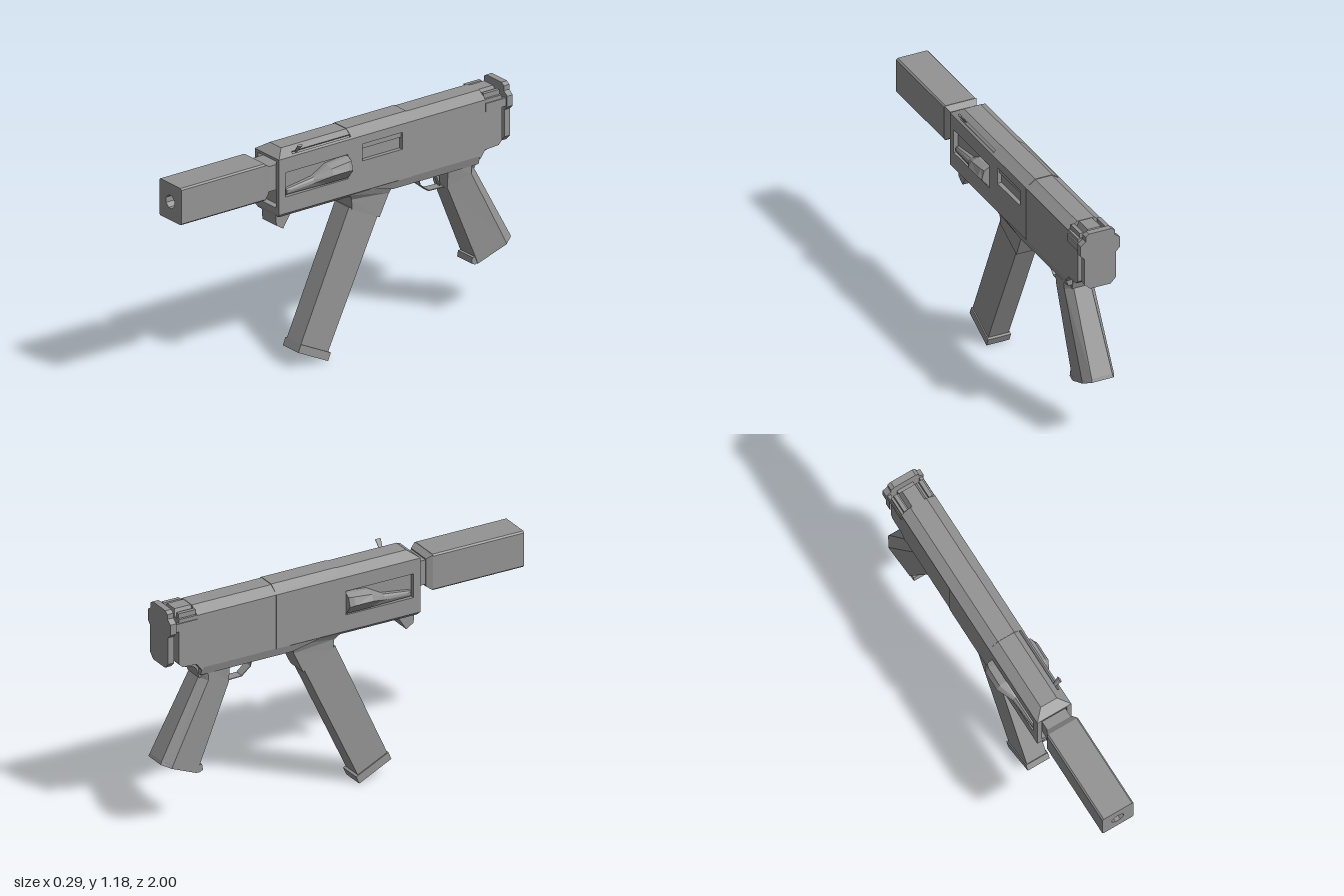
import * as THREE from 'three';

const mat = new THREE.MeshStandardMaterial({ color: 0x939393, flatShading: true });

// Shape from a point list, with optional holes
function shapeOf(pts, holes = []) {
  const s = new THREE.Shape(pts.map(p => new THREE.Vector2(...p)));
  s.holes = holes.map(h => new THREE.Path(h.map(p => new THREE.Vector2(...p))));
  return s;
}
const rect = (a0, a1, b0, b1) => [[a0, b0], [a1, b0], [a1, b1], [a0, b1]];

// Side profile in (z, y), extruded from x0 to x1
function side(pts, x0, x1, holes) {
  const g = new THREE.ExtrudeGeometry(shapeOf(pts, holes), { depth: x1 - x0, bevelEnabled: false });
  return g.rotateY(-Math.PI / 2).translate(x1, 0, 0);
}

// Front profile in (x, y), extruded from z0 to z1
function along(pts, z0, z1, holes) {
  const g = new THREE.ExtrudeGeometry(shapeOf(pts, holes), { depth: z1 - z0, bevelEnabled: false });
  return g.translate(0, 0, z0);
}

const box = (x0, x1, y0, y1, z0, z1) => new THREE.BoxGeometry(x1 - x0, y1 - y0, z1 - z0)
  .translate((x0 + x1) / 2, (y0 + y1) / 2, (z0 + z1) / 2);

// Capped loft through loops of equal length; winding is turned outwards by signed volume
function loft(loops) {
  const n = loops[0].length, tris = [];
  for (let k = 0; k + 1 < loops.length; k++) {
    for (let i = 0; i < n; i++) {
      const j = (i + 1) % n, [a, b] = [loops[k], loops[k + 1]];
      tris.push([a[i], a[j], b[j]], [a[i], b[j], b[i]]);
    }
  }
  const first = loops[0], last = loops[loops.length - 1];
  for (let i = 1; i + 1 < n; i++) {
    tris.push([first[0], first[i + 1], first[i]], [last[0], last[i], last[i + 1]]);
  }
  const c = first[0], v = p => new THREE.Vector3(p[0] - c[0], p[1] - c[1], p[2] - c[2]);
  const volume = tris.reduce((s, [p, q, r]) => s + v(p).dot(v(q).cross(v(r))), 0);
  if (volume < 0) tris.forEach(t => t.reverse());
  const g = new THREE.BufferGeometry();
  g.setAttribute('position', new THREE.Float32BufferAttribute(tris.flat(2), 3));
  g.computeVertexNormals();
  return g;
}
// Horizontal rectangle loop; the two z ends may lie at different heights
const quad = (w, z0, z1, y0, y1 = y0) => [[-w, y0, z0], [w, y0, z0], [w, y1, z1], [-w, y1, z1]];
// Upright rectangle loop at one z
const frame = (w, y0, y1, z) => [[-w, y0, z], [w, y0, z], [w, y1, z], [-w, y1, z]];

export function createModel() {
  const model = new THREE.Group();
  const add = (name, geometry) => {
    const m = new THREE.Mesh(geometry, mat);
    m.name = name;
    model.add(m);
    return m;
  };

  // Muzzle tube: bevelled square with an octagonal bore
  const c = 0.008, w = 0.087, lo = 0.935, hi = 1.125;
  const square = [[-w + c, lo], [w - c, lo], [w, lo + c], [w, hi - c], [w - c, hi], [-w + c, hi], [-w, hi - c], [-w, lo + c]];
  const bore = Array.from({ length: 8 }, (_, i) => {
    const a = (i + 0.5) * Math.PI / 4;
    return [0.035 * Math.cos(a), 1.03 + 0.035 * Math.sin(a)];
  });
  add('muzzleTube', along(square, 0.7, 1, [bore]));
  add('muzzleTubeRear', along(square, 0.495, 0.7));
  add('muzzleTaper', loft([frame(0.085, 0.937, 1.123, 0.495), frame(0.07, 0.957, 1.103, 0.465)]));
  add('barrelCollar', box(-0.066, 0.066, 0.967, 1.097, 0.38, 0.47));

  // Receiver core, open at the front between the side plates
  const rear = [[-0.79, 0.83], [-0.82, 0.87], [-0.9, 0.875], [-0.92, 0.895], [-0.92, 1.13]];
  add('receiverCore', side([[0.385, 1.13], [0.385, 0.85], [-0.78, 0.83], ...rear], -0.072, 0.072));
  add('frontSill', box(-0.072, 0.072, 0.845, 0.875, 0.38, 0.42));
  add('frontLintel', box(-0.072, 0.072, 1.115, 1.13, 0.38, 0.42));

  // Side plates with grip recesses, and an ejection port on the left one
  const plate = rect(-0.38, 0.42, 0.845, 1.13);
  const rearPlate = [[-0.38, 1.13], [-0.38, 0.845], [-0.78, 0.845], ...rear];
  const recess = rect(0.005, 0.38, 0.93, 1.055), port = rect(-0.32, -0.08, 1.0, 1.087);
  add('leftPlate', side(plate, 0.07, 0.095, [recess, port]));
  add('rightPlate', side(plate, -0.095, -0.07, [recess]));
  add('leftRearPlate', side(rearPlate, 0.07, 0.092));
  add('rightRearPlate', side(rearPlate, -0.092, -0.07));
  add('bolt', box(0.065, 0.086, 1.06, 1.087, -0.32, -0.08));

  // Sloped roof, cut by the cocking slot on the left
  const roof = [[-0.045, 1.165], [-0.095, 1.13], [0.095, 1.13]], roofEnd = [0.045, 1.165];
  const slot = [[0.084, 1.138], [0.077, 1.131], [0.067, 1.138], [0.073, 1.1454]];
  add('roofRear', along([...roof, roofEnd], -0.82, -0.02));
  add('roofSlotted', along([...roof, ...slot, roofEnd], -0.02, 0.33));
  add('roofFront', loft([quad(0.095, 0.33, 0.42, 1.13), quad(0.045, 0.33, 0.37, 1.165)]));
  add('roofPanel', loft([quad(0.08, -0.38, -0.02, 1.143), quad(0.046, -0.38, -0.02, 1.168)]));
  add('roofTail', loft([quad(0.05, -0.92, -0.82, 1.13), quad(0.035, -0.91, -0.82, 1.163)]));

  // Bevelled belly and lower frame
  add('belly', loft([quad(0.095, -0.3, 0.42, 0.846), quad(0.08, -0.3, 0.41, 0.828)]));
  add('lowerFrame', loft([quad(0.092, -0.79, -0.1, 0.847), quad(0.078, -0.79, -0.28, 0.8)]));

  // Cocking handle: a flat tapered tab leaning outwards
  const handle = add('cockingHandle', new THREE.CylinderGeometry(0.016, 0.009, 0.056, 8).scale(0.4, 1, 1));
  handle.position.set(0.086, 1.157, 0.3);
  handle.rotation.z = -0.65;

  for (const s of [1, -1]) {
    // Raised finger wedge in each recess: z, then (x, y) corners
    const wedge = [
      [0.005, 0.07, 0.935, 0.095, 0.936, 0.135, 0.985, 0.122, 1.032, 0.095, 1.045, 0.07, 1.045],
      [0.03, 0.07, 0.935, 0.095, 0.936, 0.145, 0.993, 0.128, 1.032, 0.095, 1.045, 0.07, 1.045],
      [0.13, 0.07, 0.935, 0.095, 0.936, 0.145, 0.993, 0.128, 1.022, 0.095, 1.035, 0.07, 1.035],
      [0.21, 0.07, 0.935, 0.09, 0.936, 0.104, 0.962, 0.1, 0.978, 0.09, 0.988, 0.07, 0.99],
      [0.37, 0.07, 0.935, 0.085, 0.936, 0.09, 0.945, 0.09, 0.958, 0.085, 0.965, 0.07, 0.967],
    ];
    add(s > 0 ? 'leftWedge' : 'rightWedge', loft(wedge.map(([z, ...p]) =>
      [0, 2, 4, 6, 8, 10].map(i => [s * p[i], p[i + 1], z]))));
    // Rear rails joining the end plate, and the hooks above them
    const pair = (a, b) => s > 0 ? [a, b] : [-b, -a];
    add('rearRail', box(...pair(0.08, 0.097), 1.068, 1.11, -0.945, -0.82));
    add('rearHook', box(...pair(0.06, 0.08), 1.125, 1.155, -0.915, -0.82));
  }

  // End plate
  const half = [[0.055, 0.875], [0.085, 0.905], [0.085, 1.045], [0.105, 1.065], [0.105, 1.12],
    [0.078, 1.14], [0.078, 1.165], [0.06, 1.178]];
  const outline = [...half, ...half.map(([x, y]) => [-x, y]).reverse()];
  add('endPlate', along(outline, -0.975, -0.942));
  add('endPlateBoss', box(-0.045, 0.045, 1.07, 1.11, -0.945, -0.91));

  // Front hand stop
  add('handStop', side([[0.41, 0.835], [0.405, 0.775], [0.365, 0.75], [0.31, 0.835]], -0.055, 0.055));

  // Slanted magazine and its flared well
  add('magazine', side([[-0.03, 0.76], [0.27, 0.1], [0.105, 0.025], [-0.205, 0.68]], -0.055, 0.055));
  add('magazineBase', side([[0.262, 0.127], [0.278, 0.088], [0.1, 0.001], [0.083, 0.04]], -0.061, 0.061));
  add('magazineWell', loft([
    quad(0.06, -0.21, -0.045, 0.665, 0.745),
    quad(0.063, -0.265, -0.04, 0.78, 0.8),
    quad(0.085, -0.285, -0.015, 0.835, 0.835),
  ]));

  // Trigger and guard
  const bow = [[-0.465, 0.805], [-0.48, 0.75], [-0.53, 0.708], [-0.64, 0.704]];
  const inner = [[-0.64, 0.708], [-0.531, 0.712], [-0.484, 0.752], [-0.469, 0.805]];
  add('triggerGuard', side([...bow, ...inner], -0.025, 0.025));
  add('trigger', side([[-0.58, 0.81], [-0.59, 0.76], [-0.61, 0.71], [-0.605, 0.76], [-0.598, 0.81]], -0.012, 0.012));

  // Pistol grip: six-sided sections, widest towards the back
  const gripLoop = (zf, yf, zb, yb, wf, wm, wb) => {
    const t = 0.77, zm = zf + (zb - zf) * t, ym = yf + (yb - yf) * t;
    return [[-wf, yf, zf], [wf, yf, zf], [wm, ym, zm], [wb, yb, zb], [-wb, yb, zb], [-wm, ym, zm]];
  };
  add('grip', loft([
    gripLoop(-0.62, 0.83, -0.79, 0.84, 0.065, 0.08, 0.05),
    gripLoop(-0.62, 0.715, -0.785, 0.775, 0.055, 0.077, 0.045),
    gripLoop(-0.79, 0.305, -0.993, 0.385, 0.06, 0.085, 0.055),
    gripLoop(-0.8, 0.277, -1.0, 0.368, 0.06, 0.085, 0.058),
  ]));
  add('gripToe', side([[-0.77, 0.315], [-0.765, 0.285], [-0.785, 0.275], [-0.81, 0.283], [-0.8, 0.315]], -0.057, 0.057));
  add('gripTang', side([[-0.74, 0.87], [-0.74, 0.78], [-0.785, 0.775], [-0.8, 0.825], [-0.82, 0.845],
    [-0.86, 0.85], [-0.865, 0.88]], -0.055, 0.055));

  return model;
}
